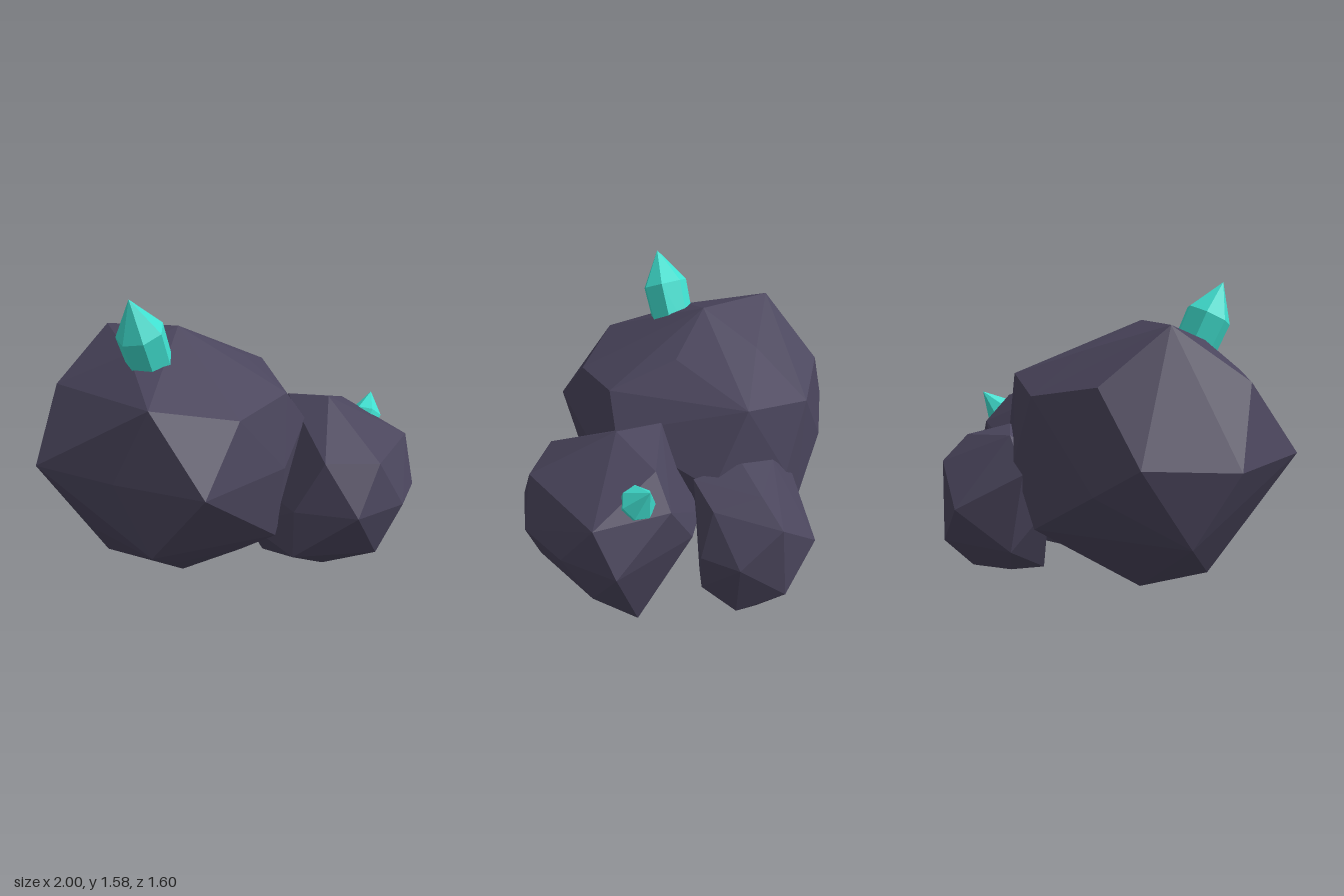
import * as THREE from 'three';
import { ConvexGeometry } from 'three/addons/geometries/ConvexGeometry.js';

const stone = new THREE.MeshStandardMaterial({ color: 0x4a455c });
stone.name = 'dark stone';
const teal = new THREE.MeshStandardMaterial({ color: 0x40e0d0 });
teal.name = 'turquoise crystal';

// Faceted boulder: the hull of a few corner points [x, y, z]
function boulder(name, corners) {
  const geometry = new ConvexGeometry(corners.map((c) => new THREE.Vector3(...c)));
  const mesh = new THREE.Mesh(geometry, stone);
  mesh.name = name;
  return mesh;
}

// Pointed prism from a sunken base, through a shoulder, to a tip
function crystal(name, base, tip, radii, shoulder, sides) {
  const from = new THREE.Vector3(...base);
  const axis = new THREE.Vector3(...tip).sub(from);
  const h = axis.length();
  const profile = [[0, 0], [radii[0], 0], [radii[1], h * shoulder], [0, h]]
    .map(([r, y]) => new THREE.Vector2(r, y));
  const geometry = new THREE.LatheGeometry(profile, sides).toNonIndexed();
  geometry.computeVertexNormals();
  const mesh = new THREE.Mesh(geometry, teal);
  mesh.name = name;
  mesh.position.copy(from);
  mesh.quaternion.setFromUnitVectors(new THREE.Vector3(0, 1, 0), axis.normalize());
  return mesh;
}

export function createModel() {
  const group = new THREE.Group();
  group.name = 'crystalRocks';

  group.add(boulder('mainBoulder', [
    // crown
    [-0.25, 1.39, -0.05], [-0.6, 1.37, -0.31], [0.08, 1.24, 0], [-0.15, 1.25, -0.36],
    [-0.52, 1.29, 0.12], [-0.88, 1.11, -0.06], [0.28, 1.12, -0.42], [0.24, 1.1, 0.3],
    [-0.47, 1.12, 0.57], [-0.05, 1.05, 0.57], [-0.43, 1.1, -0.63], [-0.05, 1.04, -0.65],
    // middle
    [-0.25, 0.76, 0.8], [-1, 0.76, 0.19], [-0.97, 0.73, -0.29], [-0.64, 0.76, 0.52],
    [0.36, 0.94, 0.23], [0.45, 0.76, -0.3], [0.2, 0.76, 0.45],
    [-0.68, 0.76, -0.65], [-0.45, 0.62, -0.69], [0.12, 0.7, -0.6],
    // underside
    [-0.72, 0.44, 0.3], [-0.48, 0.43, 0.65], [0.16, 0.4, 0.44], [-0.33, 0.31, 0.47],
    [0, 0.3, 0.36], [-0.8, 0.38, -0.42], [-0.8, 0.4, -0.1], [-0.66, 0.16, -0.055],
    [0.05, 0.2, -0.25], [-0.05, 0.4, -0.64], [0.3, 0.45, -0.2], [-0.25, 0, -0.05],
  ]));

  group.add(boulder('sideBoulder', [
    // crown
    [0.5, 1.035, 0.17], [0.33, 1.015, 0], [0.66, 0.96, -0.08], [0.96, 0.79, 0.12],
    [0.75, 0.81, -0.18], [0.64, 0.8, 0.58], [0.36, 0.82, 0.59],
    // middle
    [0.5, 0.57, 0.7], [0.78, 0.57, 0.56], [0.22, 0.57, 0.56], [0.94, 0.57, 0.3],
    [1, 0.57, 0], [0.6, 0.57, -0.24], [0.4, 0.57, -0.22], [0.16, 0.57, 0.3],
    // underside
    [0.65, 0.32, 0.56], [0.22, 0.33, 0.56], [0.9, 0.33, 0.17], [0.08, 0.33, 0.12],
    [0.75, 0.11, 0], [0.2, 0.11, 0], [0.72, 0.36, -0.09], [0.5, 0.08, 0.17],
  ]));

  group.add(boulder('backBoulder', [
    // crown
    [0.33, 0.855, -0.41], [0.5, 0.8, -0.55], [0.2, 0.82, -0.54], [0.6, 0.74, -0.34],
    [0.45, 0.8, -0.2], [0.05, 0.7, -0.4],
    // middle
    [0.56, 0.67, -0.67], [0.04, 0.65, -0.62], [0.33, 0.47, -0.8], [0.69, 0.49, -0.5],
    [0.66, 0.5, -0.3], [-0.02, 0.48, -0.5],
    // underside
    [0.53, 0.26, -0.7], [0.1, 0.26, -0.65], [0.48, 0.1, -0.55], [0.2, 0.13, -0.55],
    [0.6, 0.15, -0.47], [0.64, 0.3, -0.3], [0.35, 0.15, -0.21], [0.12, 0.12, -0.39],
  ]));

  group.add(crystal('largeCrystal', [-0.385, 1.14, 0.14], [-0.52, 1.58, 0.29], [0.112, 0.122], 0.62, 7));
  group.add(crystal('smallCrystal', [0.75, 0.79, 0.015], [0.84, 0.97, -0.115], [0.065, 0.085], 0.42, 7));
  return group;
}
